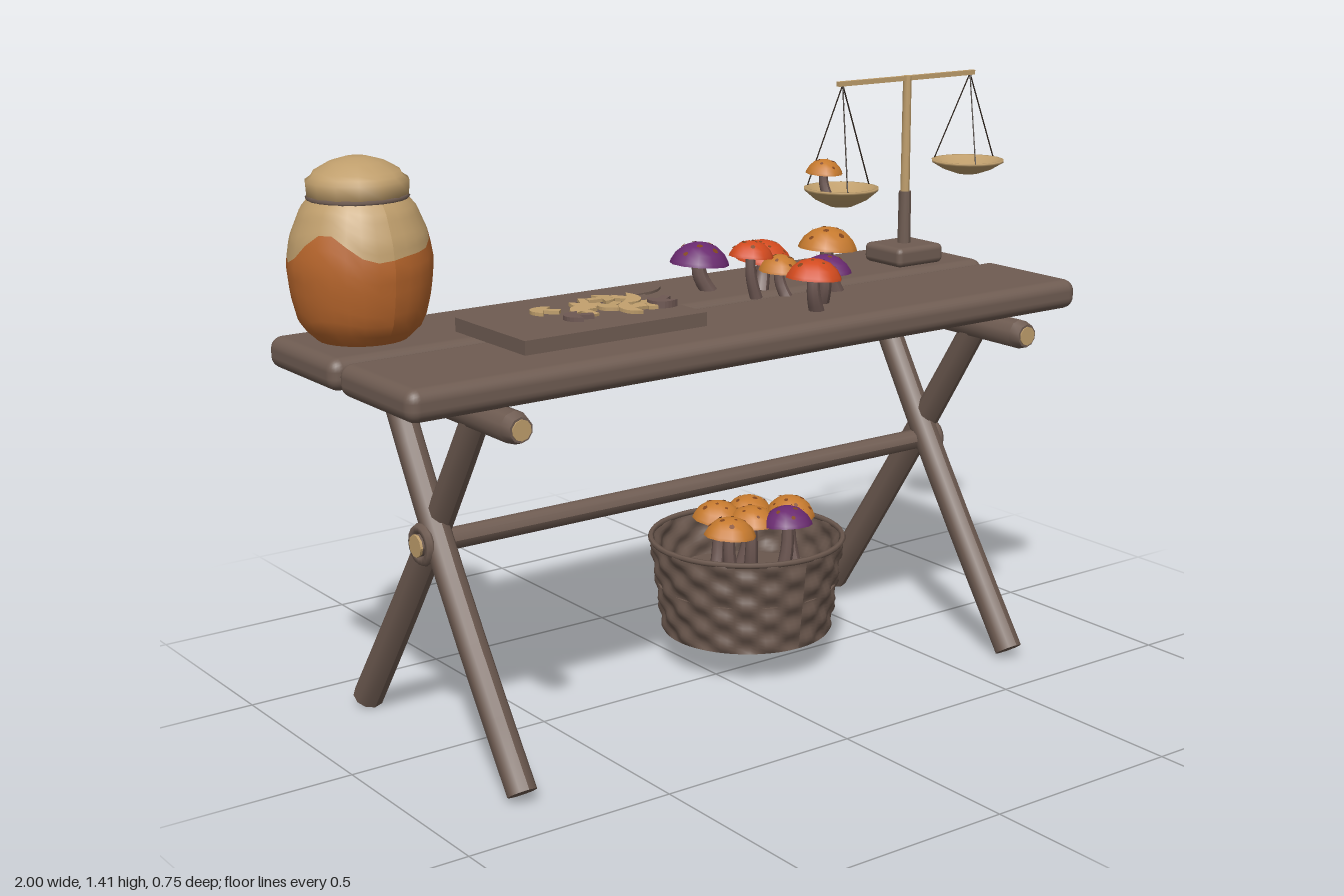
import * as THREE from 'three';
import { RoundedBoxGeometry } from 'three/addons/geometries/RoundedBoxGeometry.js';

const mat = (name, color, side = THREE.FrontSide) => {
  const m = new THREE.MeshStandardMaterial({ color, side });
  m.name = name;
  return m;
};
const V = (x, y, z) => new THREE.Vector3(x, y, z);

export function createModel() {
  const root = new THREE.Group();
  const wood = mat('brown wood', 0x6f5c52);
  const weave = mat('basket weave', 0x6a574d, THREE.DoubleSide);
  const tan = mat('pale tan', 0xbf9e6c, THREE.DoubleSide);
  const glaze = mat('orange glaze', 0xb8662c);
  const orange = mat('orange cap', 0xc67a2e);
  const red = mat('red cap', 0xd24a1e);
  const purple = mat('purple cap', 0x6a2a70);
  const stemMat = mat('mushroom stem', 0x6e5853);
  const dark = mat('dark string', 0x30261f);
  const spotMat = mat('cap spot', 0x80451e, THREE.DoubleSide);

  const add = (name, geo, material, x = 0, y = 0, z = 0, parent = root) => {
    const m = new THREE.Mesh(geo, material);
    m.name = name;
    m.position.set(x, y, z);
    parent.add(m);
    return m;
  };
  const lathe = (pts, n) => new THREE.LatheGeometry(pts.map(p => new THREE.Vector2(p[0], p[1])), n);

  // Round bar from a to b, bowed by a vector in the middle
  const bar = (name, a, b, ra, rb, material, bow = V(0, 0, 0), sides = 10, parent = root) => {
    const d = b.clone().sub(a), len = d.length();
    const g = new THREE.CylinderGeometry(rb, ra, len, sides, bow.lengthSq() ? 6 : 1);
    const q = new THREE.Quaternion().setFromUnitVectors(V(0, 1, 0), d.normalize());
    const p = g.attributes.position, v = V(0, 0, 0);
    for (let i = 0; i < p.count; i++) {
      v.fromBufferAttribute(p, i);
      const t = v.y / len + 0.5;
      v.y += len / 2;
      v.applyQuaternion(q).add(a).addScaledVector(bow, Math.sin(Math.PI * t));
      p.setXYZ(i, v.x, v.y, v.z);
    }
    g.computeVertexNormals();
    return add(name, g, material, 0, 0, 0, parent);
  };

  // Table top: two planks
  add('frontPlank', new RoundedBoxGeometry(1.88, 0.072, 0.312, 3, 0.028), wood, -0.06, 0.896, 0.162);
  add('backPlank', new RoundedBoxGeometry(1.88, 0.072, 0.308, 3, 0.028), wood, -0.06, 0.896, -0.167);

  // Trestles: crossed legs and a log under the planks
  for (const x of [-0.77, 0.662]) {
    bar('legForward', V(x - 0.005, 0.02, 0.345), V(x + 0.008, 0.82, -0.19), 0.034, 0.033, wood, V(-0.008, 0.012, -0.008));
    bar('legBackward', V(x - 0.003, 0.02, -0.343), V(x + 0.006, 0.82, 0.18), 0.037, 0.032, wood, V(0.01, 0.012, 0.006));
    bar('crossLog', V(x, 0.828, -0.34), V(x, 0.828, 0.34), 0.036, 0.036, wood);
    for (const s of [-1, 1]) {
      bar('logTip', V(x, 0.828, s * 0.34), V(x, 0.828, s * 0.366), 0.036, 0.028, wood);
      bar('logEndGrain', V(x, 0.828, s * 0.364), V(x, 0.828, s * 0.369), 0.023, 0.023, tan);
    }
  }

  // Stretcher joining the trestles
  bar('stretcher', V(-0.818, 0.493, 0), V(0.7, 0.493, 0), 0.025, 0.025, wood);
  for (const [x, s] of [[-0.818, -1], [0.7, 1]]) {
    bar('stretcherEndGrain', V(x, 0.493, 0), V(x + s * 0.006, 0.493, 0), 0.026, 0.026, tan);
    add('stretcherCollar', new THREE.TorusGeometry(0.037, 0.012, 6, 16), wood, x - s * 0.012, 0.493, 0).rotation.y = Math.PI / 2;
  }

  // Jar: glaze below a wavy line, bare clay above
  const jar = new THREE.Group();
  jar.name = 'jar';
  jar.position.set(-0.84, 0.935, -0.17);
  root.add(jar);
  const prof = [[0, 0.1], [0.035, 0.137], [0.1, 0.153], [0.17, 0.16], [0.23, 0.15], [0.29, 0.125], [0.32, 0.1]];
  const jarR = y => {
    for (let i = 1; i < prof.length; i++) {
      const [y0, r0] = prof[i - 1], [y1, r1] = prof[i];
      if (y <= y1) return r0 + (r1 - r0) * (y - y0) / (y1 - y0);
    }
    return 0.1;
  };
  const line = a => 0.212 + 0.027 * Math.sin(3 * a - 1.9) + 0.013 * Math.sin(5 * a + 0.6);
  const jarPart = (name, from, to, material) => {
    const g = lathe([...Array(9)].map((_, i) => [1, i / 8]), 28);
    const p = g.attributes.position;
    for (let i = 0; i < p.count; i++) {
      const a = Math.atan2(p.getX(i), p.getZ(i));
      const y = from(a) + (to(a) - from(a)) * p.getY(i), r = jarR(y);
      p.setXYZ(i, r * Math.sin(a), y, r * Math.cos(a));
    }
    g.computeVertexNormals();
    add(name, g, material, 0, 0, 0, jar);
  };
  jarPart('jarGlaze', () => 0, line, glaze);
  jarPart('jarShoulder', line, () => 0.32, tan);
  add('jarBottom', lathe([[0, 0], [0.1, 0]], 28), glaze, 0, 0, 0, jar);
  add('jarLid', lathe([[0.095, 0.305], [0.112, 0.318], [0.114, 0.348], [0.1, 0.358], [0.095, 0.368], [0.06, 0.388], [0.025, 0.398], [0, 0.398]], 14), tan, 0, 0, 0, jar);
  const cord = add('jarCord', new THREE.TorusGeometry(0.107, 0.006, 5, 24), wood, 0, 0.312, 0, jar);
  cord.rotation.x = Math.PI / 2;

  // Mushroom: bent stem, domed cap, gills and spots
  const mushroom = (x, z, base, top, R, cap, lean = 0) => {
    const g = new THREE.Group();
    g.name = 'mushroom';
    root.add(g);
    const h = R * 0.7, y = top - h;
    const ox = Math.cos(lean) * R * 0.3, oz = Math.sin(lean) * R * 0.3;
    bar('stem', V(x + ox, base, z + oz), V(x, y + h * 0.4, z), R * 0.28, R * 0.2, stemMat, V(-ox * 0.5, 0, -oz * 0.5), 8, g);
    const dome = [[1, 0], [0.97, 0.15], [0.82, 0.5], [0.55, 0.82], [0.25, 0.97], [0, 1]];
    const c = new THREE.Group();
    c.name = 'cap';
    c.position.set(x, y, z);
    c.rotation.set(Math.sin(lean) * 0.1, lean, Math.cos(lean) * -0.1);
    c.scale.set(1, 1, 0.93);
    g.add(c);
    add('capDome', lathe(dome.map(p => [p[0] * R, p[1] * h]), 12), cap, 0, 0, 0, c);
    add('gills', lathe([[0, h * 0.25], [R * 0.6, h * 0.15], [R, 0]], 12), stemMat, 0, 0, 0, c);
    for (let i = 0; i < 8; i++) {
      const a = i * 2.4 + lean, f = 0.3 + 0.085 * i * 0.85;
      const yy = f < 0.55 ? 0.97 - (f - 0.25) * 0.5 : 0.82 - (f - 0.55) * 1.185;
      const s = add('capSpot', new THREE.CircleGeometry(R * (0.07 + 0.02 * (i % 3)), 6), spotMat, Math.sin(a) * f * R, yy * h + 0.0015, Math.cos(a) * f * R, c);
      const slope = (f < 0.55 ? 0.5 : 1.185) * 0.7;
      s.quaternion.setFromUnitVectors(V(0, 0, 1), V(Math.sin(a) * slope, 1, Math.cos(a) * slope).normalize());
    }
  };

  // Mushrooms on the table
  mushroom(0.055, -0.14, 0.93, 1.05, 0.076, purple, 0.4);
  mushroom(0.195, -0.07, 0.93, 1.05, 0.07, red, 2.5);
  mushroom(0.1, 0.005, 0.93, 1.07, 0.055, red, 0);
  mushroom(0.175, 0.02, 0.93, 1.03, 0.055, orange, 1);
  mushroom(0.297, 0.05, 0.93, 1.088, 0.075, orange, 0.3);
  mushroom(0.195, 0.165, 0.93, 1.05, 0.064, purple, 5);
  mushroom(0.12, 0.215, 0.93, 1.057, 0.066, red, 5.8);

  // Basket with woven bumps
  const basket = new THREE.Group();
  basket.name = 'basket';
  basket.position.set(0.14, 0.08, -0.06);
  root.add(basket);
  const wall = lathe([...Array(29)].map((_, i) => [0.208 + 0.03 * i / 28, 0.24 * i / 28]), 72);
  const wp = wall.attributes.position;
  for (let i = 0; i < wp.count; i++) {
    const a = Math.atan2(wp.getX(i), wp.getZ(i)), y = wp.getY(i);
    const row = Math.floor(y / 0.0345);
    const k = 1 + 0.035 * Math.sin(12 * a + row * Math.PI) * Math.abs(Math.sin(Math.PI * y / 0.0345));
    wp.setX(i, wp.getX(i) * k);
    wp.setZ(i, wp.getZ(i) * k);
  }
  wall.computeVertexNormals();
  add('basketWall', wall, weave, 0, 0, 0, basket);
  add('basketRim', new THREE.TorusGeometry(0.238, 0.007, 6, 40), weave, 0, 0.235, 0, basket).rotation.x = Math.PI / 2;
  add('basketBottom', lathe([[0, 0.002], [0.208, 0]], 36), weave, 0, 0, 0, basket);
  add('basketFloor', lathe([[0.222, 0.12], [0, 0.12]], 36), weave, 0, 0, 0, basket);
  [[0.05, -0.01], [0.27, -0.05], [0.09, -0.11], [0.2, -0.13], [0.14, -0.04]].forEach(([x, z], i) =>
    mushroom(x, z, 0.2, 0.39 + 0.005 * (i % 3), 0.066, orange, i * 1.3));
  mushroom(0.2, 0.025, 0.2, 0.4, 0.068, purple, 4);

  // Cutting board, knife and sliced mushrooms
  add('cuttingBoard', new THREE.BoxGeometry(0.48, 0.032, 0.29), wood, -0.408, 0.949, 0.045);
  const blade = new THREE.Shape();
  blade.moveTo(-0.16, -0.02);
  blade.lineTo(0.04, -0.018);
  blade.quadraticCurveTo(0.075, -0.012, 0.1, 0.012);
  blade.lineTo(-0.16, 0.014);
  const flat = (name, shape, depth, material, x, y, z, turn, tilt = 0) => {
    const m = add(name, new THREE.ExtrudeGeometry(shape, { depth, bevelEnabled: false, curveSegments: 6 }), material, x, y, z);
    m.rotation.set(-Math.PI / 2 + tilt, 0, turn);
  };
  flat('knifeBlade', blade, 0.006, wood, -0.19, 0.962, -0.07, 0.13);
  const slice = new THREE.Shape();
  slice.moveTo(-0.01, -0.035);
  slice.lineTo(0.012, -0.035);
  slice.lineTo(0.01, 0);
  slice.lineTo(0.036, -0.005);
  slice.quadraticCurveTo(0.03, 0.032, 0, 0.034);
  slice.quadraticCurveTo(-0.03, 0.032, -0.036, -0.005);
  slice.lineTo(-0.01, 0);
  [[-0.47, -0.01], [-0.37, 0.0], [-0.32, -0.01], [-0.4, 0.045], [-0.33, 0.05], [-0.27, 0.02], [-0.24, 0.07], [-0.3, 0.09]].forEach(([x, z], i) =>
    flat('mushroomSlice', slice, 0.008, tan, x, 0.967 + 0.004 * (i % 3), z, i * 1.9 + 0.8, 0.12 * (i % 2)));
  flat('brownSlice', slice, 0.01, stemMat, -0.44, 0.966, 0.08, 1.2);
  flat('brownSlice', slice, 0.016, stemMat, -0.21, 0.966, 0.075, 2.2);

  // Balance scale
  const sx = 0.69, sz = -0.117;
  add('scaleBase', new RoundedBoxGeometry(0.152, 0.05, 0.14, 2, 0.015), wood, sx, 0.957, sz);
  bar('scalePostSleeve', V(sx, 0.97, sz), V(sx, 1.115, sz), 0.017, 0.016, wood);
  bar('scalePost', V(sx, 1.1, sz), V(sx, 1.408, sz), 0.012, 0.011, tan);
  add('scaleBeam', new THREE.BoxGeometry(0.455, 0.012, 0.012), tan, sx, 1.402, sz);
  for (const [x, rim, depth] of [[0.478, 1.145, 0.05], [0.905, 1.177, 0.038]]) {
    add('scalePan', lathe([[0, -depth], [0.03, -depth * 0.93], [0.065, -depth * 0.6], [0.093, -0.006], [0.094, 0], [0.085, 0], [0.06, -depth * 0.45], [0, -depth * 0.75]], 18), tan, x, rim, sz);
    for (let i = 0; i < 3; i++) {
      const a = Math.PI / 2 + i * Math.PI * 2 / 3;
      bar('panString', V(x + Math.sin(a) * 0.09, rim, sz + Math.cos(a) * 0.09), V(x, 1.4, sz), 0.0022, 0.0022, dark, undefined, 4);
    }
  }
  mushroom(0.457, -0.16, 1.11, 1.212, 0.05, orange, 1);

  return root;
}
